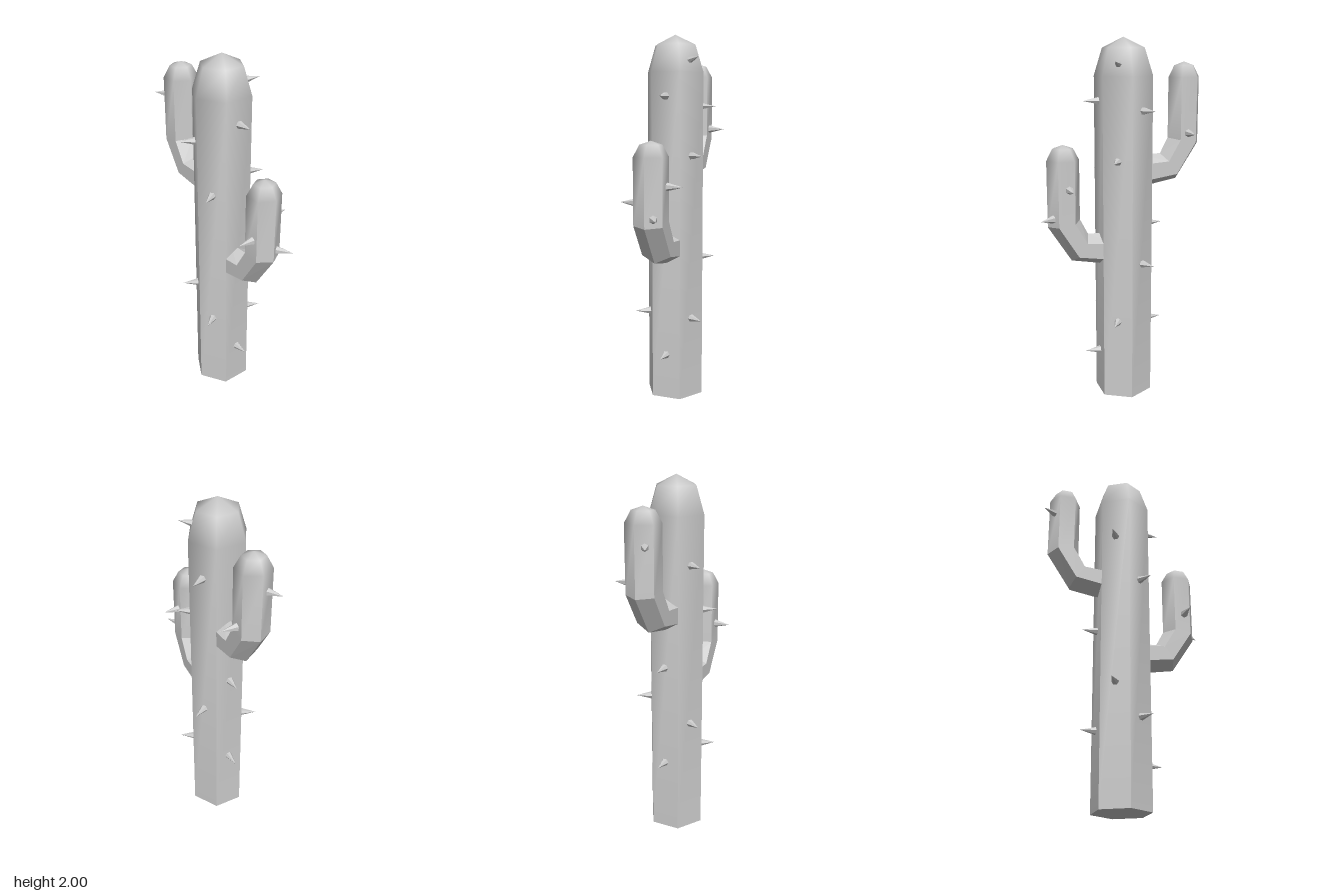
import * as THREE from 'three';

const V = (x, y, z) => new THREE.Vector3(x, y, z);
const SIDES = 6;

// Skin six-sided rings from base to apex; rings below smoothFrom keep hard edges.
function loft(rings, base, apex, smoothFrom) {
  const pts = [...rings.flat(), base, apex];
  const baseId = pts.length - 2, apexId = pts.length - 1;
  const index = [];
  for (let j = 0; j < SIDES; j++) {
    const k = (j + 1) % SIDES;
    index.push(baseId, k, j);
    for (let i = 0; i < rings.length - 1; i++) {
      const a = i * SIDES + j, b = i * SIDES + k;
      index.push(a, b, b + SIDES, a, b + SIDES, a + SIDES);
    }
    const top = (rings.length - 1) * SIDES;
    index.push(top + j, top + k, apexId);
  }
  const indexed = new THREE.BufferGeometry().setFromPoints(pts);
  indexed.setIndex(index);
  indexed.computeVertexNormals();
  const geo = indexed.toNonIndexed();
  const flat = geo.clone();
  flat.computeVertexNormals();
  const n = geo.attributes.normal, f = flat.attributes.normal;
  index.forEach((id, v) => {
    if (id < smoothFrom * SIDES || id === baseId) n.setXYZ(v, f.getX(v), f.getY(v), f.getZ(v));
  });
  return geo;
}

export function createModel() {
  const group = new THREE.Group();
  const skin = new THREE.MeshStandardMaterial({ color: 0xcccccc });
  const spineMat = new THREE.MeshStandardMaterial({ color: 0xcccccc, flatShading: true });
  const add = (name, geo, mat) => {
    const mesh = new THREE.Mesh(geo, mat);
    mesh.name = name;
    group.add(mesh);
    return mesh;
  };

  // Trunk: hexagonal column with a domed top
  const trunkRings = [[0.162, 0], [0.162, 1.8], [0.116, 1.945]].map(([r, y]) =>
    Array.from({ length: SIDES }, (_, j) => {
      const a = j * Math.PI / 3;
      return V(r * Math.sin(a), y, r * Math.cos(a));
    }));
  add('trunk', loft(trunkRings, V(0, 0, 0), V(0, 2, 0), 1), skin);

  // Arms: bent hexagonal tubes, each ring given by outer xy, inner xy and depth
  const armProfile = [
    [0.08, 0.76, 0.08, 0.945, 0.094],
    [0.3, 0.8, 0.205, 0.945, 0.094],
    [0.43, 1.0, 0.25, 1.03, 0.094],
    [0.43, 1.36, 0.25, 1.36, 0.094],
    [0.397, 1.423, 0.283, 1.423, 0.06],
  ];
  function addArm(name, s, dx, dy) {
    const rings = armProfile.map(([ox, oy, ix, iy, rz]) => {
      const cx = (ox + ix) / 2, cy = (oy + iy) / 2;
      return Array.from({ length: SIDES }, (_, j) => {
        const b = -s * j * Math.PI / 3, c = Math.cos(b);
        return V(s * (cx + dx + (ox - cx) * c), cy + dy + (oy - cy) * c, rz * Math.sin(b));
      });
    });
    add(name, loft(rings, V(s * (0.08 + dx), 0.8525 + dy, 0), V(s * (0.34 + dx), 1.443 + dy, 0), 3), skin);
  }
  addArm('leftArm', 1, 0, 0);
  addArm('rightArm', -1, 0.01, 0.43);

  // Spines: small cones pointing outward; angle is measured from +z towards +x
  const LENGTH = 0.1;
  const spineGeo = new THREE.ConeGeometry(0.025, LENGTH, 6);
  function addSpine(name, cx, y, angle, tip, lift = 0) {
    const a = THREE.MathUtils.degToRad(angle);
    const dir = V(Math.sin(a), lift, Math.cos(a)).normalize();
    const mesh = add(name, spineGeo, spineMat);
    mesh.quaternion.setFromUnitVectors(V(0, 1, 0), dir);
    mesh.position.set(cx, y, 0).addScaledVector(dir, tip - LENGTH / 2);
  }
  const trunkSpines = {
    30: [1.28, 0.475],
    90: [1.67, 0.25],
    150: [1.355, 0.455],
    210: [1.62, 0.78],
    270: [0.985, 0.415],
    330: [1.545, 0.655],
  };
  for (const [angle, heights] of Object.entries(trunkSpines))
    for (const y of heights) addSpine('trunkSpine', 0, y, Number(angle), 0.225);
  addSpine('domeSpine', 0, 1.835, 150, 0.197, 0.2);

  // Arm spines
  addSpine('leftArmSpine', 0.35, 1.125, 0, 0.17);
  addSpine('leftArmSpine', 0.325, 1.21, 180, 0.17);
  addSpine('leftArmSpine', 0.34, 1.05, 120, 0.168);
  addSpine('rightArmSpine', -0.35, 1.49, 180, 0.17);
  addSpine('rightArmSpine', -0.34, 1.685, 300, 0.168);

  return group;
}
